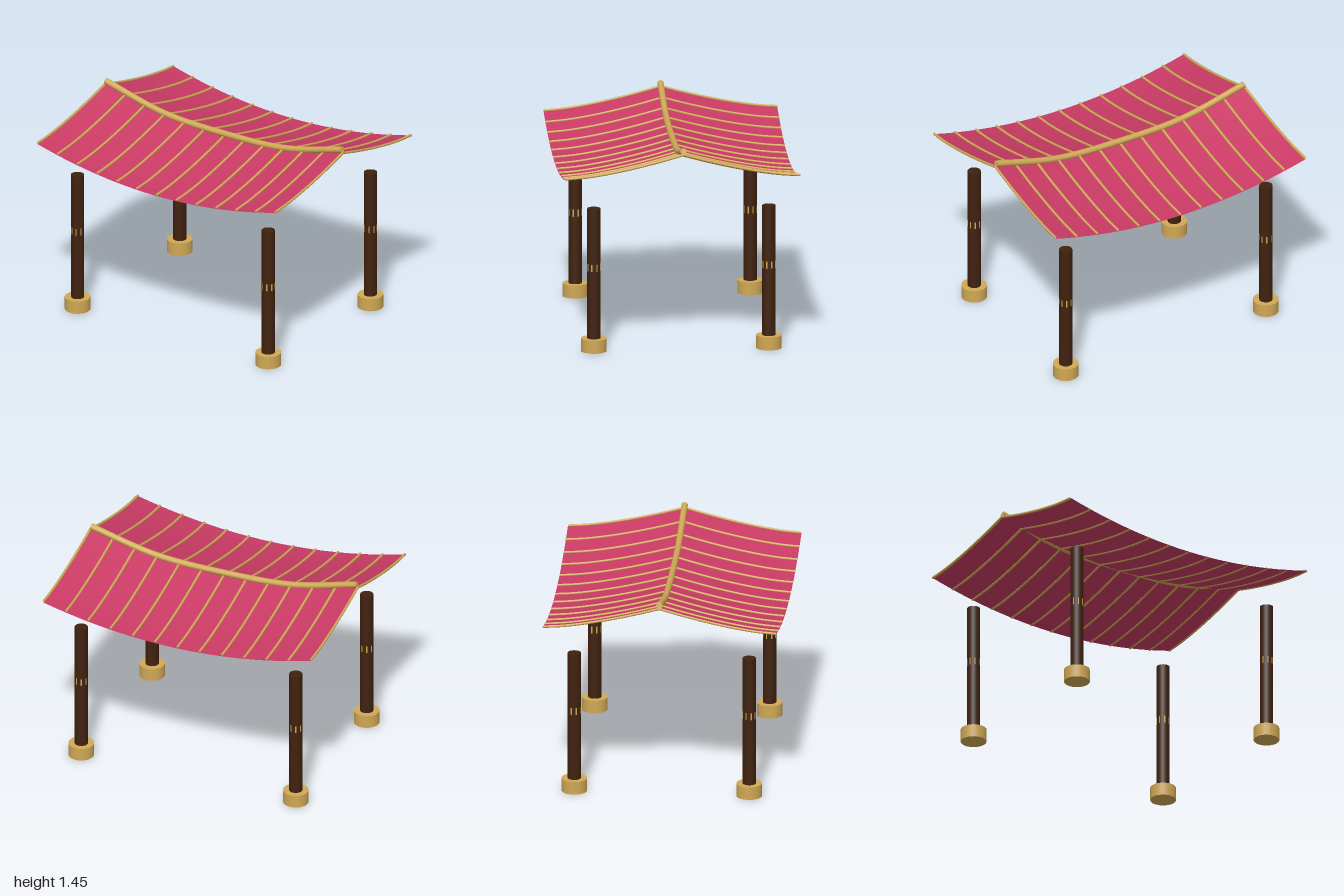
import * as THREE from 'three';

const HALF_W = 0.99, HALF_D = 0.795, RIBS = 13;

// Roof height: sags along x, sweeps down from ridge to eave along z
const roofY = (x, z) =>
  1.115 + 0.13 * (x / HALF_W) ** 2 + 0.155 * (1 - Math.min(1, Math.abs(z) / HALF_D)) ** 1.5;

function slopeGeometry(side) {
  const geo = new THREE.PlaneGeometry(2 * HALF_W, HALF_D, 24, 14);
  geo.rotateX(-Math.PI / 2);
  geo.translate(0, 0, side * HALF_D / 2);
  const p = geo.attributes.position;
  for (let i = 0; i < p.count; i++) p.setY(i, roofY(p.getX(i), p.getZ(i)));
  geo.computeVertexNormals();
  return geo;
}

export function createModel() {
  const mat = (name, color, side = THREE.FrontSide) => {
    const m = new THREE.MeshStandardMaterial({ color, side });
    m.name = name;
    return m;
  };
  const cloth = mat('crimson roof', 0xc93a64, THREE.DoubleSide);
  const gold = mat('gold trim', 0xd0a855);
  const wood = mat('dark wood', 0x40220f);

  const model = new THREE.Group();
  model.name = 'pavilion';
  const add = (parent, name, geo, material, x = 0, y = 0, z = 0) => {
    const mesh = new THREE.Mesh(geo, material);
    mesh.name = name;
    mesh.position.set(x, y, z);
    parent.add(mesh);
    return mesh;
  };

  // Two roof slopes, each with thin ribs running from ridge to eave
  for (const side of [1, -1]) {
    const roof = new THREE.Group();
    roof.name = side > 0 ? 'frontRoof' : 'backRoof';
    model.add(roof);
    add(roof, 'roofSlope', slopeGeometry(side), cloth);
    for (let i = 0; i < RIBS; i++) {
      const x = -HALF_W + (2 * HALF_W * i) / (RIBS - 1);
      const pts = [];
      for (let k = 0; k <= 6; k++) {
        const z = (side * HALF_D * k) / 6;
        pts.push(new THREE.Vector3(x, roofY(x, z) + 0.002, z));
      }
      add(roof, 'roofRib', new THREE.TubeGeometry(new THREE.CatmullRomCurve3(pts), 18, 0.009, 8), gold);
    }
  }

  // Curved ridge beam with upturned, closed ends
  const ridge = new THREE.CatmullRomCurve3(
    [[-0.985, 1.425], [-0.5, 1.312], [0, 1.29], [0.5, 1.312], [0.985, 1.425]]
      .map(([x, y]) => new THREE.Vector3(x, y, 0)));
  add(model, 'ridgeBeam', new THREE.TubeGeometry(ridge, 40, 0.022, 12), gold);
  for (const t of [0, 1]) {
    const cap = add(model, 'ridgeEnd', new THREE.CircleGeometry(0.022, 12), gold);
    cap.position.copy(ridge.getPoint(t));
    const out = ridge.getTangent(t).multiplyScalar(t ? 1 : -1);
    cap.quaternion.setFromUnitVectors(new THREE.Vector3(0, 0, 1), out);
  }

  // Four columns on round bases, each with a faceted band just breaking the surface
  const shaft = new THREE.CylinderGeometry(0.045, 0.045, 0.975, 24);
  const band = new THREE.CylinderGeometry(0.0465, 0.0465, 0.05, 8);
  band.rotateY(Math.PI / 8);
  const base = new THREE.CylinderGeometry(0.0875, 0.0875, 0.09, 24);
  for (const x of [-0.795, 0.795]) {
    for (const z of [-0.595, 0.595]) {
      const column = new THREE.Group();
      column.name = (z > 0 ? 'front' : 'back') + (x > 0 ? 'Left' : 'Right') + 'Column';
      column.position.set(x, 0, z);
      model.add(column);
      add(column, 'columnShaft', shaft, wood, 0, 0.5075, 0);
      add(column, 'columnBand', band, gold, 0, 0.585, 0);
      add(column, 'columnBase', base, gold, 0, 0.045, 0);
    }
  }
  return model;
}
